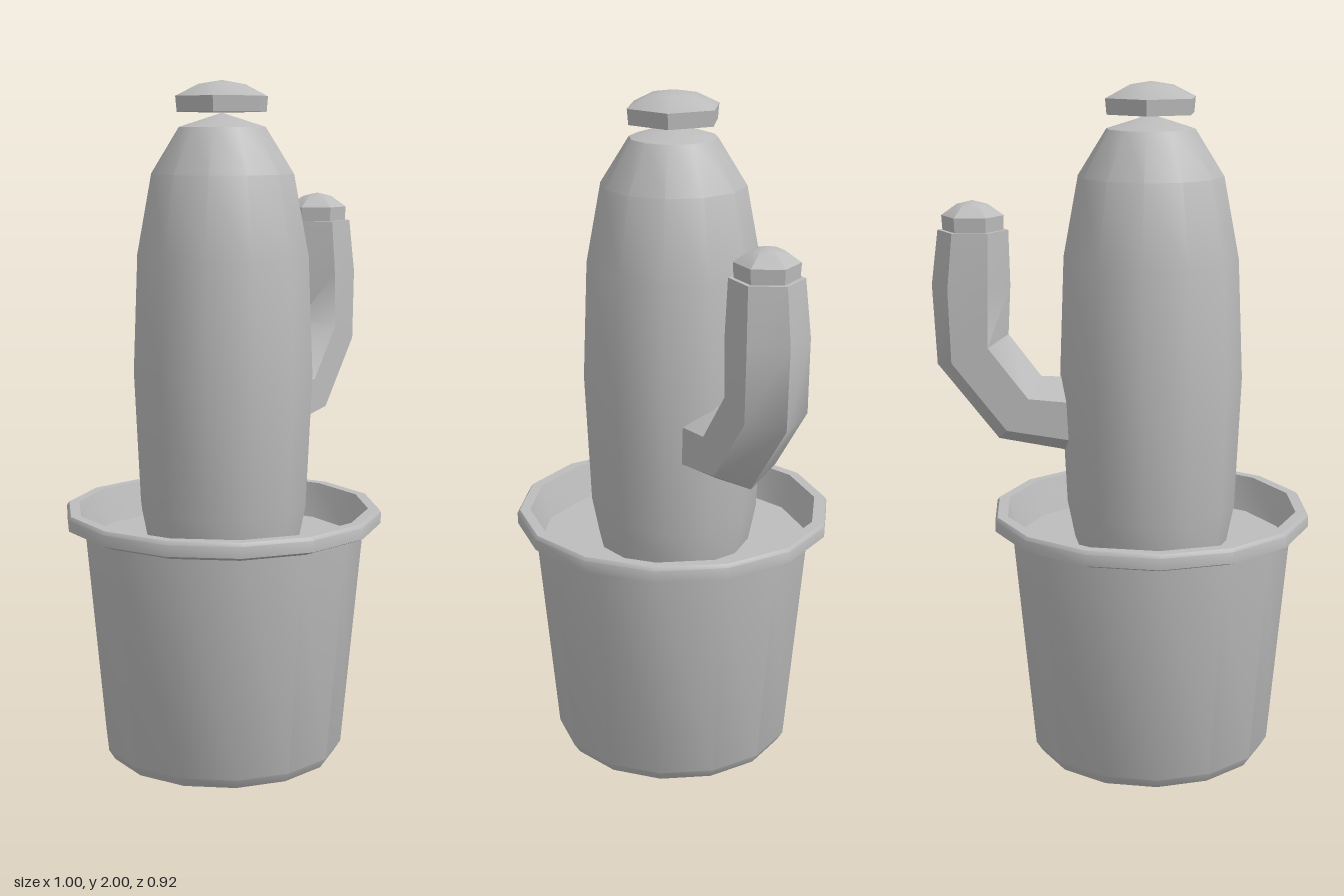
import * as THREE from 'three';
import { toCreasedNormals } from 'three/addons/utils/BufferGeometryUtils.js';

const grey = new THREE.MeshStandardMaterial({ color: 0xbcbcbc });
grey.name = 'plain grey';

const CREASE = 0.6; // keeps hexagons crisp, rounds the pot and trunk

function addMesh(parent, name, geometry) {
  const mesh = new THREE.Mesh(toCreasedNormals(geometry, CREASE), grey);
  mesh.name = name;
  parent.add(mesh);
  return mesh;
}

// Turned part with a corner on the +x axis; profile is [radius, y] from bottom to top
function turned(profile, sides) {
  const points = profile.map(([r, y]) => new THREE.Vector2(r, y));
  return new THREE.LatheGeometry(points, sides, Math.PI / 2);
}

// Hexagonal bud: short collar with a low dome, standing on y = 0
function bud(r, collar, height) {
  return turned([
    [0, 0], [r * 0.97, 0], [r, collar],
    [r * 0.5, collar + (height - collar) * 0.75], [0, height],
  ], 6);
}

// Hexagonal limb through [distance, y, radius, tilt of the path in degrees]
function limb(rings) {
  const positions = [], index = [];
  for (const [s, y, r, tilt] of rings) {
    const t = THREE.MathUtils.degToRad(tilt);
    for (let k = 0; k < 6; k++) {
      const a = k * Math.PI / 3, c = Math.cos(a) * r;
      positions.push(s + Math.sin(t) * c, y - Math.cos(t) * c, Math.sin(a) * r);
    }
  }
  for (let i = 0; i < rings.length - 1; i++) {
    for (let k = 0; k < 6; k++) {
      const a = i * 6 + k, b = i * 6 + (k + 1) % 6;
      index.push(a, a + 6, b, b, a + 6, b + 6);
    }
  }
  // Closed upper end
  const [s, y] = rings[rings.length - 1];
  const centre = positions.length / 3, last = centre - 6;
  positions.push(s, y, 0);
  for (let k = 0; k < 6; k++) index.push(centre, last + (k + 1) % 6, last + k);
  const geometry = new THREE.BufferGeometry();
  geometry.setAttribute('position', new THREE.Float32BufferAttribute(positions, 3));
  geometry.setIndex(index);
  return geometry;
}

export function createModel() {
  const model = new THREE.Group();
  model.name = 'pottedCactus';
  const plant = new THREE.Group();
  plant.name = 'plant';
  plant.position.x = -0.03;
  model.add(plant);

  // Tapered pot with a protruding rim
  addMesh(plant, 'pot', turned([
    [0, 0], [0.341, 0], [0.36, 0.03], [0.42, 0.697], [0.435, 0.697],
    [0.472, 0.712], [0.472, 0.745], [0.465, 0.755], [0.434, 0.755], [0.406, 0.65],
  ], 14));
  addMesh(plant, 'soil', turned([[0.406, 0.65], [0, 0.65]], 14));

  // Trunk
  addMesh(plant, 'trunk', turned([
    [0.228, 0.65], [0.25, 0.76], [0.268, 1.15], [0.254, 1.5],
    [0.21, 1.735], [0.127, 1.868], [0, 1.908],
  ], 12));
  addMesh(plant, 'topFlower', bud(0.141, 0.045, 0.09)).position.y = 1.91;

  // Bent arm with its own bud
  const arm = new THREE.Group();
  arm.name = 'arm';
  arm.rotation.y = THREE.MathUtils.degToRad(35);
  plant.add(arm);
  addMesh(arm, 'armLimb', limb([
    [0.2, 1.032, 0.114, 4],
    [0.385, 1.055, 0.114, 34],
    [0.52, 1.23, 0.114, 67],
    [0.521, 1.42, 0.114, 90],
    [0.512, 1.58, 0.102, 90],
  ]));
  addMesh(arm, 'armBud', bud(0.09, 0.047, 0.09)).position.set(0.512, 1.575, 0);

  return model;
}
